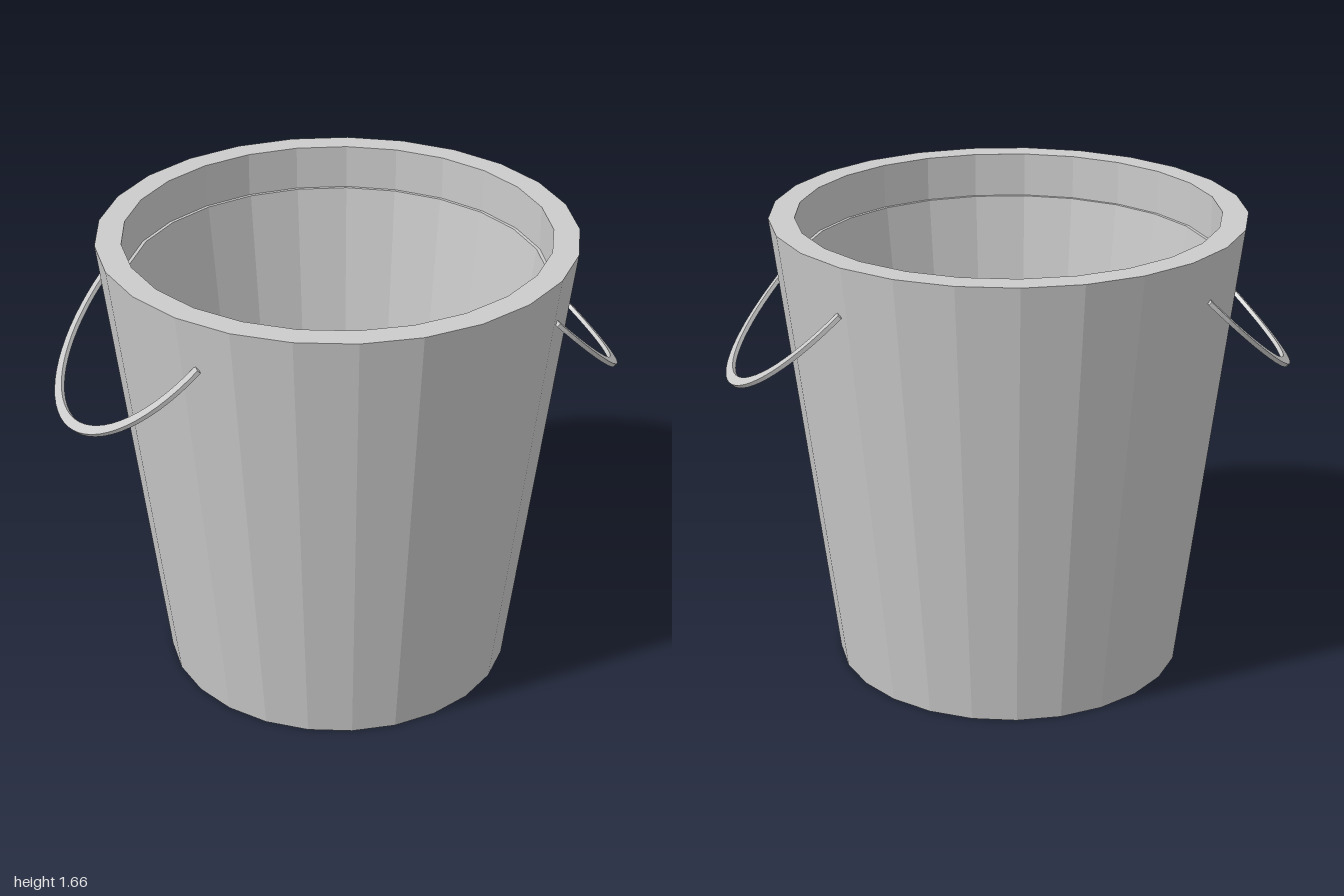
import * as THREE from 'three';

const material = new THREE.MeshStandardMaterial({ color: 0xcccccc, flatShading: true });

// Tapered bucket: outer wall, thick rim, small ledge inside, sunken floor
function makeBucket() {
  const profile = [
    [0, 0], [0.626, 0], [0.83, 1.66], [0.74, 1.66],
    [0.74, 1.5], [0.728, 1.5], [0.56, 0.12], [0, 0.12],
  ].map(([r, y]) => new THREE.Vector2(r, y));
  const bucket = new THREE.Mesh(new THREE.LatheGeometry(profile, 25, Math.PI / 2), material);
  bucket.name = 'bucket';
  return bucket;
}

// Half-ring band hanging outward and down at 45 degrees on the +x side
function makeHandleGeometry() {
  const outer = 0.545, inner = 0.51, thickness = 0.015;
  const band = new THREE.Shape();
  band.absarc(0, 0, outer, 0, Math.PI, false);
  band.absarc(0, 0, inner, Math.PI, 0, true);
  const geometry = new THREE.ExtrudeGeometry(band, {
    depth: thickness, bevelEnabled: false, curveSegments: 18,
  });
  geometry.translate(0, 0, -thickness / 2);
  const s = Math.SQRT1_2;
  geometry.applyMatrix4(new THREE.Matrix4().makeBasis(
    new THREE.Vector3(0, 0, 1), new THREE.Vector3(s, -s, 0), new THREE.Vector3(s, s, 0),
  ));
  geometry.translate(0.61, 1.485, 0);
  return geometry;
}

export function createModel() {
  const model = new THREE.Group();
  model.name = 'bucketWithHandles';
  model.add(makeBucket());

  // Matching handles on both sides
  const handleGeometry = makeHandleGeometry();
  ['leftHandle', 'rightHandle'].forEach((name, i) => {
    const handle = new THREE.Mesh(handleGeometry, material);
    handle.name = name;
    handle.rotation.y = i * Math.PI;
    model.add(handle);
  });
  return model;
}
